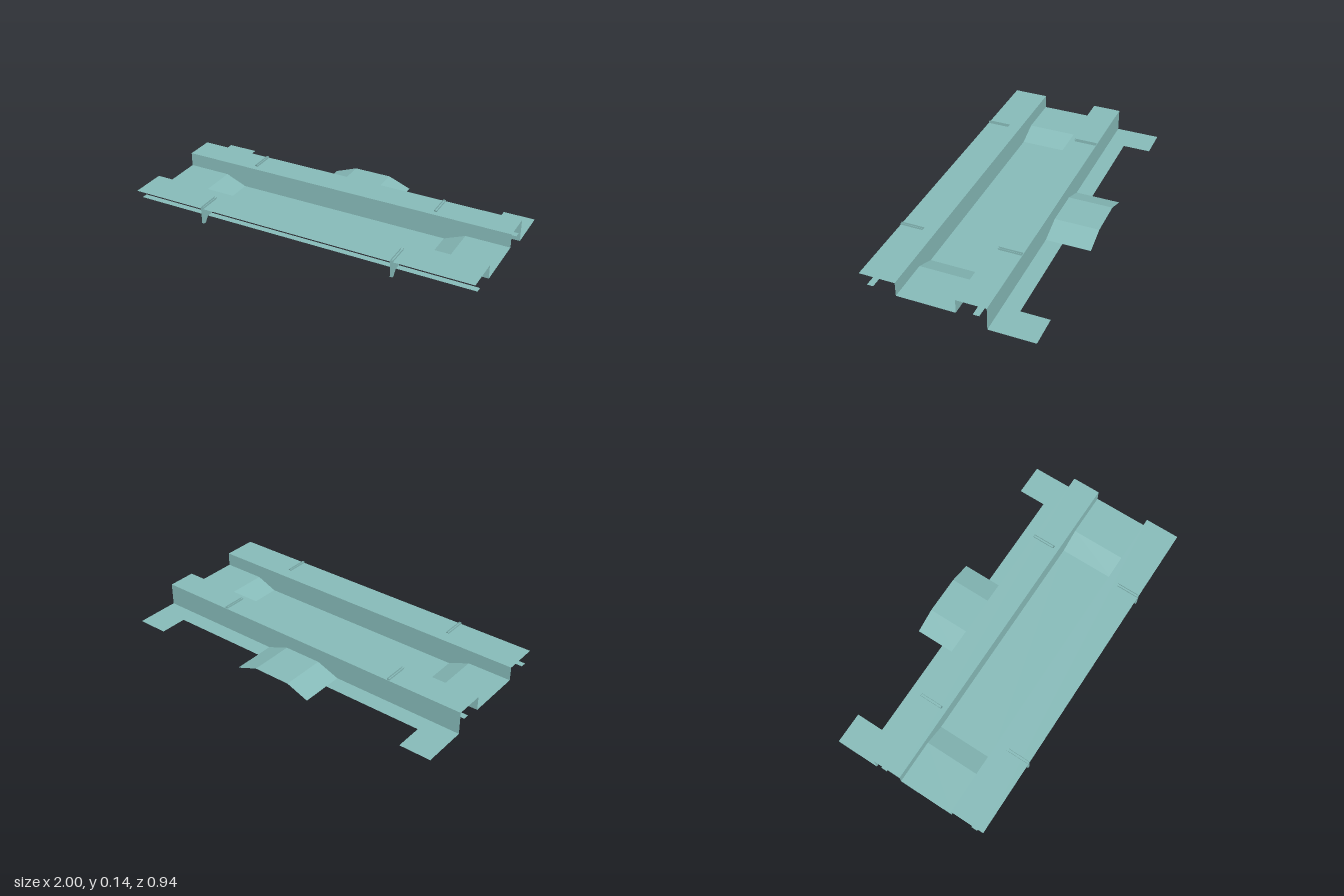
import * as THREE from 'three';

const teal = new THREE.MeshStandardMaterial({ color: 0x86bab8, side: THREE.DoubleSide });
teal.name = 'pale teal';

const DECK = 0.13;

// Flat-faceted ruled surface between two polylines of [x, y, z] points
function sheet(name, a, b) {
  const pos = [];
  for (let i = 0; i < a.length - 1; i++) {
    pos.push(...a[i], ...b[i], ...a[i + 1], ...a[i + 1], ...b[i], ...b[i + 1]);
  }
  const geo = new THREE.BufferGeometry();
  geo.setAttribute('position', new THREE.Float32BufferAttribute(pos, 3));
  geo.computeVertexNormals();
  const mesh = new THREE.Mesh(geo, teal);
  mesh.name = name;
  return mesh;
}

// Floor along an [x, y] profile, spanning back to front in z
const floor = (name, profile, zBack, zFront) => sheet(name,
  profile.map(([x, y]) => [x, y, zBack]), profile.map(([x, y]) => [x, y, zFront]));

// Wall from the deck height down to an [x, y] profile
function wall(name, profile, z, facesBack) {
  const top = profile.map(([x]) => [x, DECK, z]);
  const bottom = profile.map(([x, y]) => [x, y, z]);
  return facesBack ? sheet(name, bottom, top) : sheet(name, top, bottom);
}

// Thin open-topped bracket; inner edge points towards dir, outer edge at z
function bracket(x, z, dir) {
  const group = new THREE.Group();
  group.name = 'bracket';
  const half = 0.007;
  const outline = [[0.135, 0.14], [0.075, 0.07], [0.04, 0.07], [0.015, 0.04], [0, 0.04], [0, 0.14]]
    .map(([d, y]) => [z + dir * d, y]);
  const edge = (side) => outline.map(([pz, y]) => [x + side * half, y, pz]);
  group.add(sheet('bracketRim', edge(dir), edge(-dir)));
  const shape = new THREE.Shape(outline.map(([pz, y]) => new THREE.Vector2(pz, y)));
  for (const side of [-1, 1]) {
    const geo = new THREE.ShapeGeometry(shape);
    geo.rotateY(-Math.PI / 2);
    const cheek = new THREE.Mesh(geo, teal);
    cheek.position.x = x + side * half;
    cheek.name = 'bracketCheek';
    group.add(cheek);
  }
  return group;
}

export function createModel() {
  const model = new THREE.Group();
  model.name = 'platform';
  const level = (y) => [[-1, y], [1, y]];

  // Sunken channel with raised ends
  const channel = [[-1, 0.05], [-0.75, 0.05], [-0.63, 0], [0.63, 0], [0.75, 0.05], [1, 0.05]];
  model.add(
    floor('channelFloor', channel, -0.055, 0.27),
    wall('channelBackWall', channel, -0.055, false),
    wall('channelFrontWall', channel, 0.27, true),
  );

  // Raised decks on either side
  model.add(
    floor('frontDeck', level(DECK), 0.27, 0.47),
    floor('backDeck', level(DECK), -0.22, -0.055),
  );

  // Rear wall and stepped apron with a central hump
  const hump = [[-0.24, 0], [-0.11, 0.05], [0.11, 0.05], [0.24, 0]];
  model.add(
    wall('rearWall', [[-1, 0], ...hump, [1, 0]], -0.22, true),
    floor('apronHump', hump, -0.475, -0.22),
  );
  for (const s of [-1, 1]) {
    const span = (a, b) => [[s * a, 0], [s * b, 0]].sort((p, q) => p[0] - q[0]);
    model.add(
      floor('apronStrip', span(0.24, 0.82), -0.315, -0.22),
      floor('apronEnd', span(0.82, 1), -0.475, -0.22),
    );
  }

  // Thin strips under the decks, held by brackets
  model.add(
    floor('frontStrip', level(0.07), 0.395, 0.43),
    floor('backStrip', level(0.07), -0.18, -0.145),
  );
  for (const x of [-0.565, 0.56]) {
    model.add(bracket(x, 0.47, -1), bracket(x, -0.217, 1));
  }
  return model;
}
